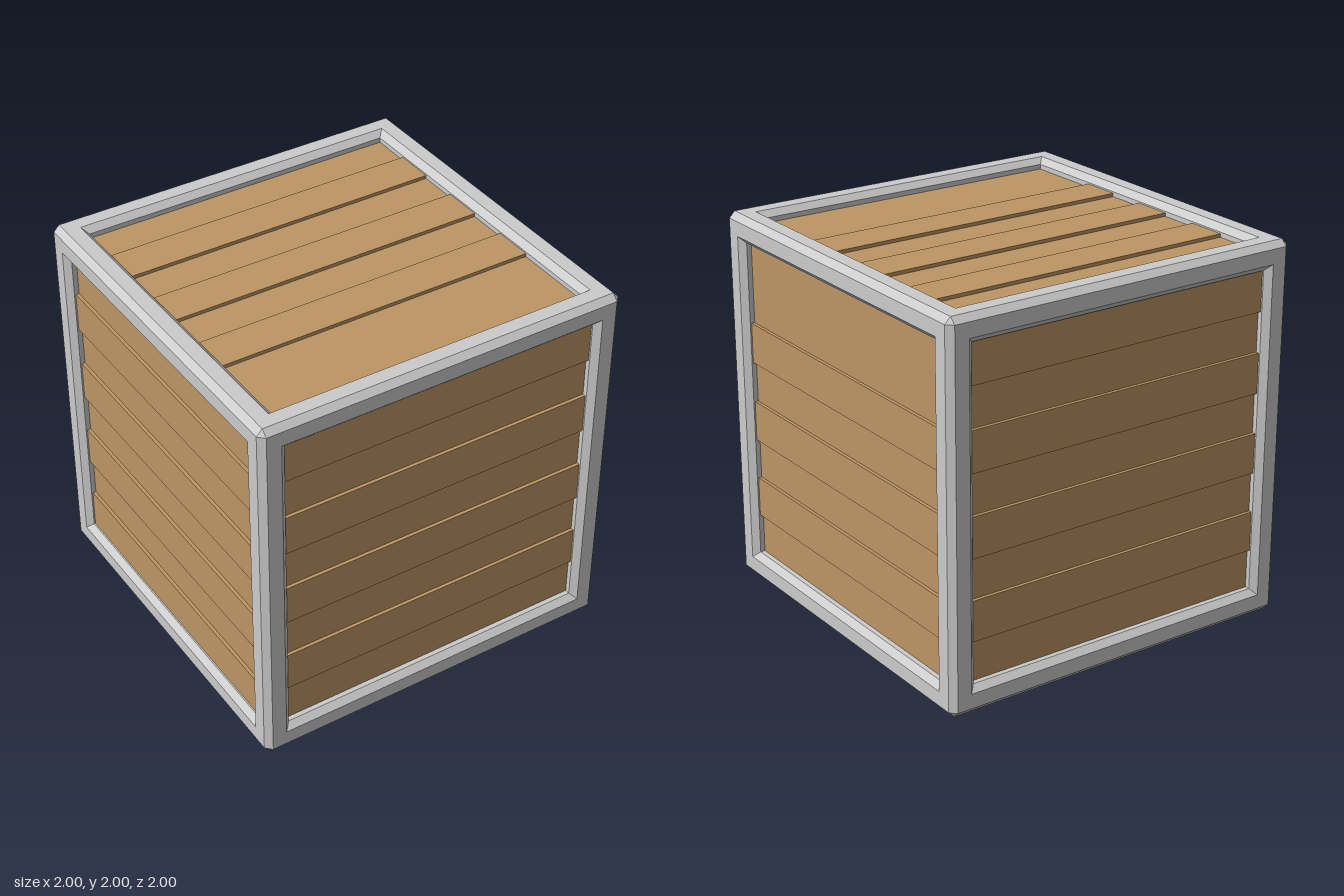
import * as THREE from 'three';

const EDGE = 0.968;   // where the outer chamfer starts
const OPEN = 0.89;    // opening at the face
const INNER = 0.858;  // opening below the inner chamfer
const PLANKS = 8;

// turns the front (+z) face onto each side of the cube
const SIDES = [
  { name: 'front', turn: [0, 0, 0], depths: [1, 0, 1, 0, 1, 0, 1, 0] },
  { name: 'left', turn: [0, Math.PI / 2, 0], depths: [0, 0, 1, 0, 1, 0, 1, 0] },
  { name: 'back', turn: [0, Math.PI, 0], depths: [1, 0, 1, 0, 1, 0, 1, 0] },
  { name: 'right', turn: [0, -Math.PI / 2, 0], depths: [0, 1, 0, 1, 0, 1, 0, 1] },
  { name: 'top', turn: [-Math.PI / 2, 0, 0], depths: [0, 1, 0, 1, 0, 1, 0, 0] },
  { name: 'bottom', turn: [Math.PI / 2, 0, Math.PI / 2], depths: [1, 0, 1, 0, 1, 0, 1, 0] },
];

function flatGeometry(positions) {
  const geometry = new THREE.BufferGeometry();
  geometry.setAttribute('position', new THREE.Float32BufferAttribute(positions, 3));
  geometry.computeVertexNormals();
  return geometry;
}

// square border of one face: half of the outer chamfer, flat rim, inner chamfer, wall
function borderGeometry() {
  const mid = (1 + EDGE) / 2;
  const profile = [ // half width, distance from centre, depth
    [EDGE, mid, mid], [EDGE, EDGE, 1], [OPEN, OPEN, 1], [INNER, INNER, 0.968], [INNER, INNER, 0.88],
  ];
  const positions = [];
  for (let side = 0; side < 4; side++) {
    const c = Math.round(Math.cos(side * Math.PI / 2));
    const s = Math.round(Math.sin(side * Math.PI / 2));
    const put = (x, [, y, z]) => positions.push(x * c - y * s, x * s + y * c, z);
    for (let i = 0; i < profile.length - 1; i++) {
      const a = profile[i], b = profile[i + 1];
      put(-a[0], a); put(-b[0], b); put(b[0], b);
      put(-a[0], a); put(b[0], b); put(a[0], a);
    }
  }
  return flatGeometry(positions);
}

// small triangles closing the eight chamfered corners
function cornerGeometry() {
  const positions = [];
  for (const x of [-1, 1]) for (const y of [-1, 1]) for (const z of [-1, 1]) {
    const p = [x, y * EDGE, z * EDGE];
    const q = [x * EDGE, y, z * EDGE];
    const r = [x * EDGE, y * EDGE, z];
    positions.push(...p, ...(x * y * z > 0 ? [...q, ...r] : [...r, ...q]));
  }
  return flatGeometry(positions);
}

export function createModel() {
  const crate = new THREE.Group();
  crate.name = 'crate';
  const metal = new THREE.MeshStandardMaterial({ color: 0xcccccc, flatShading: true });
  const wood = new THREE.MeshStandardMaterial({ color: 0xbd9564, flatShading: true });

  const border = borderGeometry();
  const pitch = 2 * INNER / PLANKS;
  const thickness = 0.07;
  const plankGeometry = new THREE.BoxGeometry(2 * INNER, pitch, thickness);

  for (const { name, turn, depths } of SIDES) {
    const side = new THREE.Group();
    side.name = name + 'Side';
    side.rotation.set(...turn);

    const rim = new THREE.Mesh(border, metal);
    rim.name = name + 'Frame';
    side.add(rim);

    // planks from top to bottom, alternately raised and sunk
    depths.forEach((raised, i) => {
      const plank = new THREE.Mesh(plankGeometry, wood);
      plank.name = name + 'Plank' + (i + 1);
      const face = raised ? 0.96 : 0.942;
      plank.position.set(0, INNER - pitch * (i + 0.5), face - thickness / 2);
      side.add(plank);
    });
    crate.add(side);
  }

  const corners = new THREE.Mesh(cornerGeometry(), metal);
  corners.name = 'frameCorners';
  crate.add(corners);

  // stand the cube on the ground
  crate.children.forEach((part) => { part.position.y = 1; });
  return crate;
}
